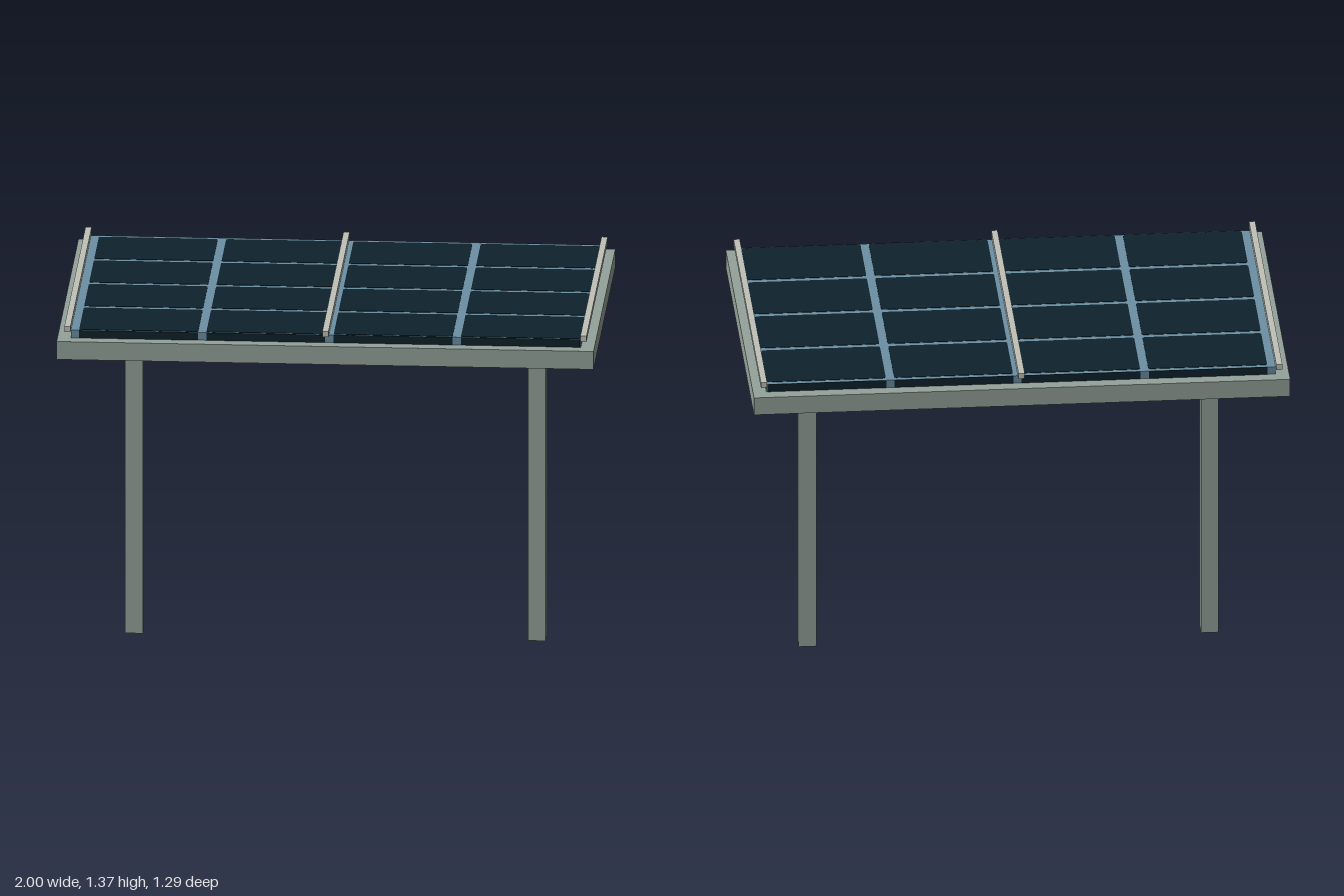
import * as THREE from 'three';

const material = (name, color) => {
  const m = new THREE.MeshStandardMaterial({ color });
  m.name = name;
  return m;
};

export function createModel() {
  const group = new THREE.Group();
  const frameGrey = material('frame grey green', 0x95a39b);
  const gridBlue = material('grid blue', 0x6b90a4);
  const cellDark = material('cell dark blue', 0x0e222c);
  const railPale = material('rail pale grey', 0xc0c2b8);

  const add = (name, geometry, mat, x, y, z) => {
    const mesh = new THREE.Mesh(geometry, mat);
    mesh.name = name;
    mesh.position.set(x, y, z);
    group.add(mesh);
    return mesh;
  };
  const box = (name, mat, w, h, d, x, y, z) =>
    add(name, new THREE.BoxGeometry(w, h, d), mat, x, y, z);

  // Flat plate with slightly rounded corners, lying in the xz plane
  const cellGeometry = (w, d, r, t) => {
    const s = new THREE.Shape();
    const a = w / 2, b = d / 2;
    s.absarc(a - r, b - r, r, 0, Math.PI / 2);
    s.absarc(-a + r, b - r, r, Math.PI / 2, Math.PI);
    s.absarc(-a + r, -b + r, r, Math.PI, Math.PI * 1.5);
    s.absarc(a - r, -b + r, r, Math.PI * 1.5, Math.PI * 2);
    const g = new THREE.ExtrudeGeometry(s, { depth: t, bevelEnabled: false, curveSegments: 3 });
    return g.rotateX(-Math.PI / 2);
  };

  // Two posts carrying the deck
  for (const x of [-0.75, 0.75]) box('post', frameGrey, 0.066, 1.25, 0.064, x, 0.625, 0);
  box('deck', frameGrey, 2, 0.07, 1.29, 0, 1.285, 0);

  // Panel body shows as the grid lines between the cells
  box('panelBody', gridBlue, 1.9, 0.03, 1.19, 0, 1.335, 0);

  // Four by four cells, with dark strips along the front and back edges
  const cell = cellGeometry(0.443, 0.275, 0.01, 0.0015);
  for (let i = 0; i < 4; i++) {
    const x = -0.698 + i * 0.474;
    for (let j = 0; j < 4; j++) add('solarCell', cell, cellDark, x, 1.35, -0.439 + j * 0.297);
    for (const z of [-0.595, 0.595]) box('edgeStrip', cellDark, 0.443, 0.03, 0.003, x, 1.335, z);
  }

  // Clamping rails on top
  for (const x of [-0.961, 0, 0.961]) box('rail', railPale, 0.023, 0.022, 1.25, x, 1.362, 0);

  return group;
}
